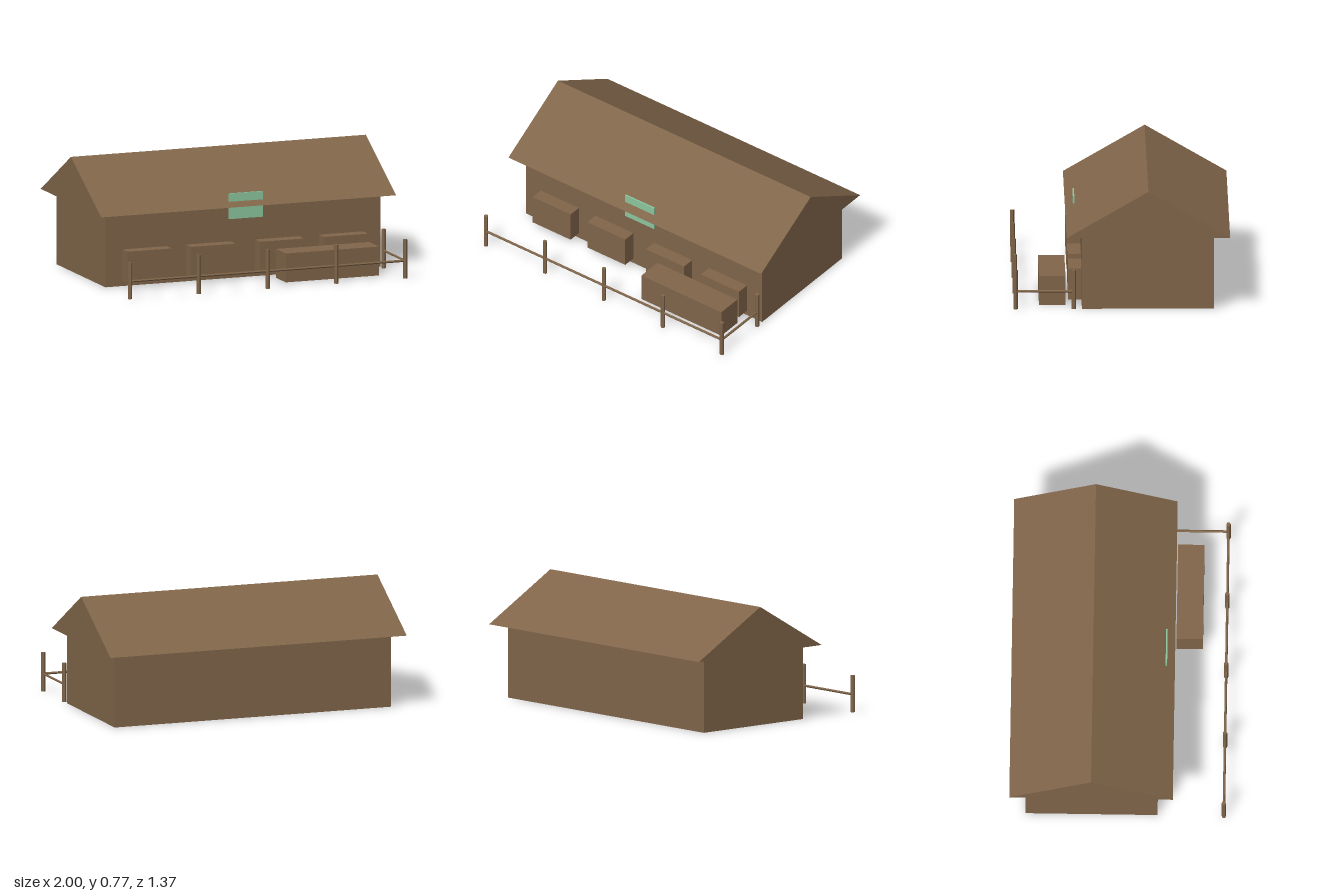
import * as THREE from 'three';

export function createModel() {
  const model = new THREE.Group();
  const wood = new THREE.MeshStandardMaterial({ color: 0x806549 });
  wood.name = 'brown wood';
  const green = new THREE.MeshStandardMaterial({ color: 0x8bc69e });
  green.name = 'sign green';
  const woodFaceted = wood;

  const add = (name, geometry, material = wood) => {
    const mesh = new THREE.Mesh(geometry, material);
    mesh.name = name;
    model.add(mesh);
    return mesh;
  };

  // Box given by its limits on each axis
  const box = (name, [x0, x1], [y0, y1], [z0, z1], material) => {
    const mesh = add(name, new THREE.BoxGeometry(x1 - x0, y1 - y0, z1 - z0), material);
    mesh.position.set((x0 + x1) / 2, (y0 + y1) / 2, (z0 + z1) / 2);
    return mesh;
  };

  // Six-sided pole between two points, with flat facets
  const pole = (name, from, to, radius) => {
    const a = new THREE.Vector3(...from);
    const b = new THREE.Vector3(...to);
    const dir = b.clone().sub(a);
    const geometry = new THREE.CylinderGeometry(radius, radius, dir.length(), 6).toNonIndexed();
    geometry.computeVertexNormals();
    const mesh = add(name, geometry, woodFaceted);
    mesh.position.copy(a).add(b).multiplyScalar(0.5);
    mesh.quaternion.setFromUnitVectors(new THREE.Vector3(0, 1, 0), dir.normalize());
    return mesh;
  };

  // Main hall
  box('walls', [-0.933, 0.933], [0, 0.47], [-0.582, 0.251]);

  // Gabled roof: triangle extruded along x (shape x is -z)
  const gable = new THREE.Shape([
    new THREE.Vector2(-0.348, 0.47),
    new THREE.Vector2(0.682, 0.47),
    new THREE.Vector2(0.167, 0.767),
  ]);
  const roof = new THREE.ExtrudeGeometry(gable, { depth: 2, bevelEnabled: false });
  roof.translate(0, 0, -1).rotateY(Math.PI / 2);
  add('roof', roof);

  // Boxes along the front wall
  for (const x of [-0.667, -0.235, 0.23, 0.664]) {
    box('wallBox', [x - 0.15, x + 0.15], [0.035, 0.235], [0.24, 0.336]);
  }

  // Long counter in front
  box('counter', [0.183, 0.815], [0, 0.185], [0.353, 0.52]);

  // Sign board passing through the eave
  box('signBoard', [-0.115, 0.115], [0.387, 0.551], [0.289, 0.299], green);

  // Fence posts and rails
  const fenceZ = 0.669, fenceX = 0.933, railY = 0.113;
  for (let i = -2; i <= 2; i++) {
    const x = (i * fenceX) / 2;
    pole('fencePost', [x, 0, fenceZ], [x, i === -2 ? 0.235 : 0.25, fenceZ], 0.014);
  }
  pole('fencePost', [fenceX, 0, 0.302], [fenceX, 0.25, 0.302], 0.014);
  pole('frontRail', [-fenceX, railY, fenceZ], [fenceX, railY, fenceZ], 0.008);
  pole('sideRail', [fenceX, railY, 0.302], [fenceX, railY, fenceZ], 0.008);

  return model;
}
